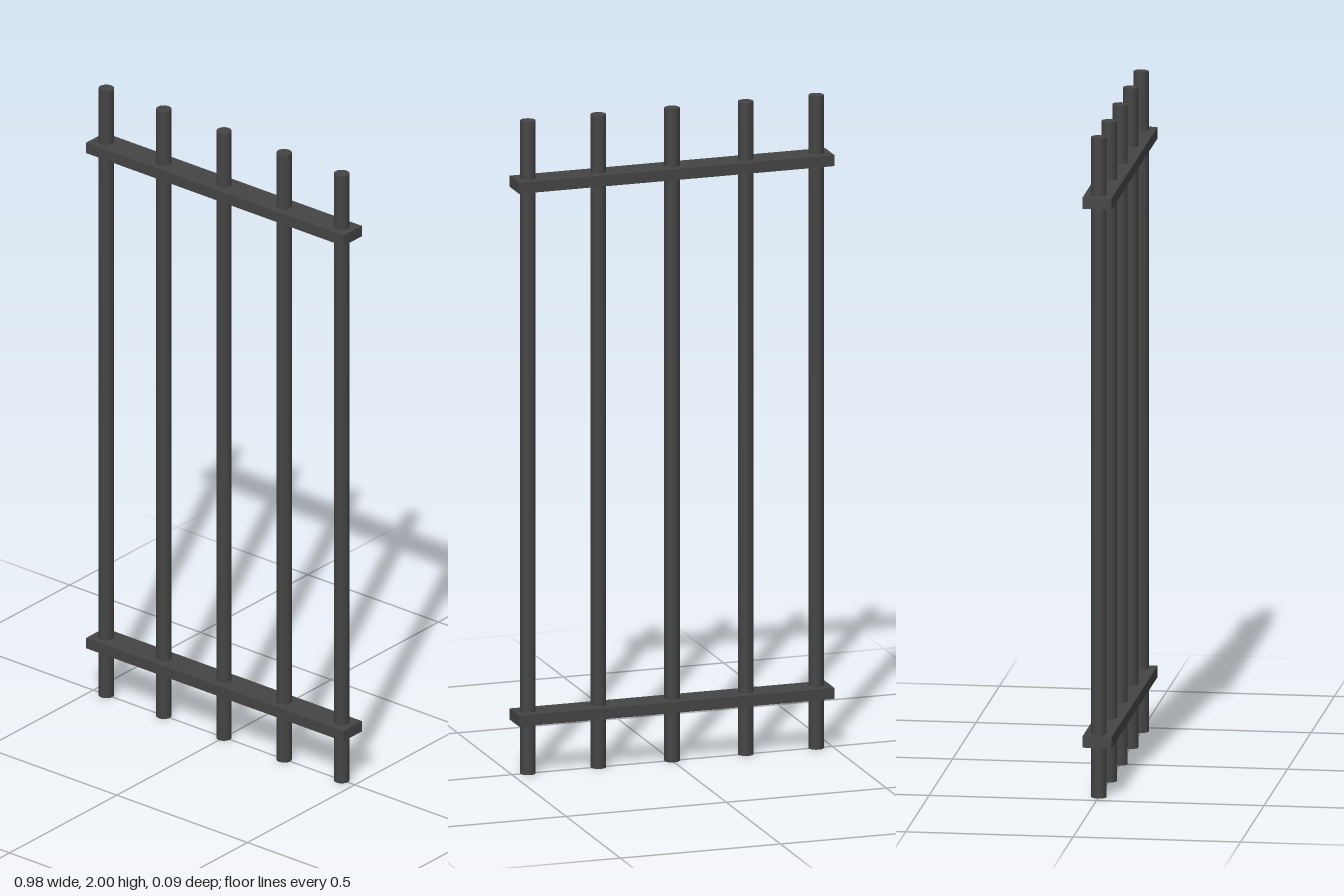
import * as THREE from 'three';

export function createModel() {
  const group = new THREE.Group();
  const iron = new THREE.MeshStandardMaterial({ color: 0x444444 });
  iron.name = 'dark iron';

  const add = (name, geometry, x, y) => {
    const mesh = new THREE.Mesh(geometry, iron);
    mesh.name = name;
    mesh.position.set(x, y, 0);
    group.add(mesh);
  };

  // Upright round bars
  const barGeometry = new THREE.CylinderGeometry(0.023, 0.023, 2, 16);
  [-0.45, -0.23, 0, 0.23, 0.45].forEach((x, i) => add(`bar${i + 1}`, barGeometry, x, 1));

  // Flat cross rails that the bars pass through
  const railGeometry = new THREE.BoxGeometry(0.984, 0.034, 0.087);
  add('lowerRail', railGeometry, 0, 0.174);
  add('upperRail', railGeometry, 0, 1.806);

  return group;
}
